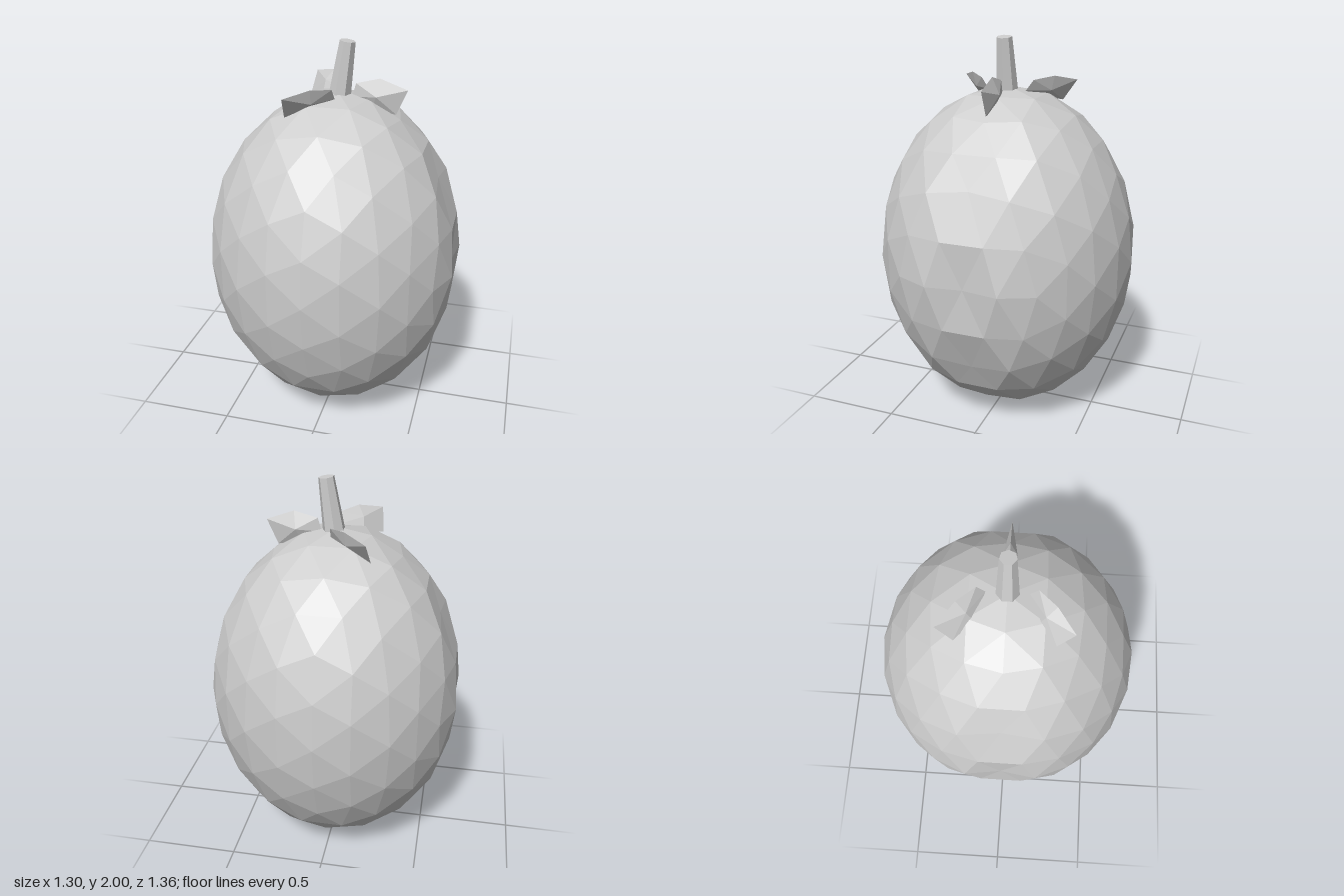
import * as THREE from 'three';

const grey = new THREE.MeshStandardMaterial({ color: 0xcccccc, flatShading: true });
grey.name = 'light grey';

function meshFrom(points, name) {
  const geo = new THREE.BufferGeometry().setFromPoints(points);
  geo.computeVertexNormals();
  const mesh = new THREE.Mesh(geo, grey);
  mesh.name = name;
  return mesh;
}

// Split every triangle of a unit sphere in four
function subdivide(tris) {
  const mid = (a, b) => a.clone().add(b).normalize();
  const out = [];
  for (let i = 0; i < tris.length; i += 3) {
    const [a, b, c] = tris.slice(i, i + 3);
    const ab = mid(a, b), bc = mid(b, c), ca = mid(c, a);
    out.push(a, ab, ca, ab, b, bc, ca, bc, c, ab, bc, ca);
  }
  return out;
}

// Egg-shaped faceted fruit with a shallow groove down both sides
function makeFruit() {
  const pos = new THREE.IcosahedronGeometry(1, 0).getAttribute('position');
  let tris = [];
  for (let i = 0; i < pos.count; i++) tris.push(new THREE.Vector3().fromBufferAttribute(pos, i));
  for (let k = 0; k < 2; k++) tris = subdivide(tris);
  const pts = tris.map((p) => {
    const z = p.z * 0.68;
    const pinch = 1 - 0.08 * Math.exp(-((z / 0.103) ** 2));
    return new THREE.Vector3(p.x * 0.68 * pinch, 0.875 + p.y * 0.875, z);
  });
  return meshFrom(pts, 'fruit');
}

// Tapered, slightly leaning stem
function makeStem() {
  const base = new THREE.Vector3(0.015, 1.71, 0);
  const tip = new THREE.Vector3(0.056, 1.995, 0);
  const axis = tip.clone().sub(base);
  const geo = new THREE.CylinderGeometry(0.04, 0.058, axis.length(), 7, 1, false, Math.PI / 2);
  const stem = new THREE.Mesh(geo, grey);
  stem.quaternion.setFromUnitVectors(new THREE.Vector3(0, 1, 0), axis.clone().normalize());
  stem.position.copy(base).add(tip).multiplyScalar(0.5);
  stem.name = 'stem';
  return stem;
}

// Leaf: a six-cornered outline, thickened to a point in the middle of both faces
function makeLeaf(outline, thickness, name) {
  const ring = outline.map((p) => new THREE.Vector3(...p));
  const n = ring.length;
  const centre = new THREE.Vector3(), normal = new THREE.Vector3();
  ring.forEach((p, i) => {
    centre.addScaledVector(p, 1 / n);
    normal.add(p.clone().cross(ring[(i + 1) % n]));
  });
  normal.normalize();
  const front = centre.clone().addScaledVector(normal, thickness);
  const back = centre.clone().addScaledVector(normal, -thickness);
  const pts = [];
  ring.forEach((p, i) => {
    const q = ring[(i + 1) % n];
    pts.push(p, q, front, q, p, back);
  });
  return meshFrom(pts, name);
}

export function createModel() {
  const group = new THREE.Group();
  group.name = 'fruit with stem and leaves';
  group.add(makeFruit(), makeStem());

  // Upright leaf on the left
  group.add(makeLeaf([
    [0.36, 1.77, 0], [0.305, 1.645, 0], [0.18, 1.66, 0],
    [0.08, 1.72, 0], [0.1, 1.79, 0], [0.22, 1.82, 0],
  ], 0.033, 'leftLeaf'));

  // Two leaning leaves, mirrored front to back
  const leaning = [
    [-0.185, 1.77, 0.312], [-0.2, 1.66, 0.233], [-0.11, 1.69, 0.145],
    [0.017, 1.73, 0.1], [0.012, 1.785, 0.14], [-0.07, 1.8, 0.225],
  ];
  for (const side of [1, -1]) {
    const outline = leaning.map(([x, y, z]) => [x, y, z * side]);
    group.add(makeLeaf(outline, 0.025, side > 0 ? 'frontLeaf' : 'backLeaf'));
  }
  return group;
}
